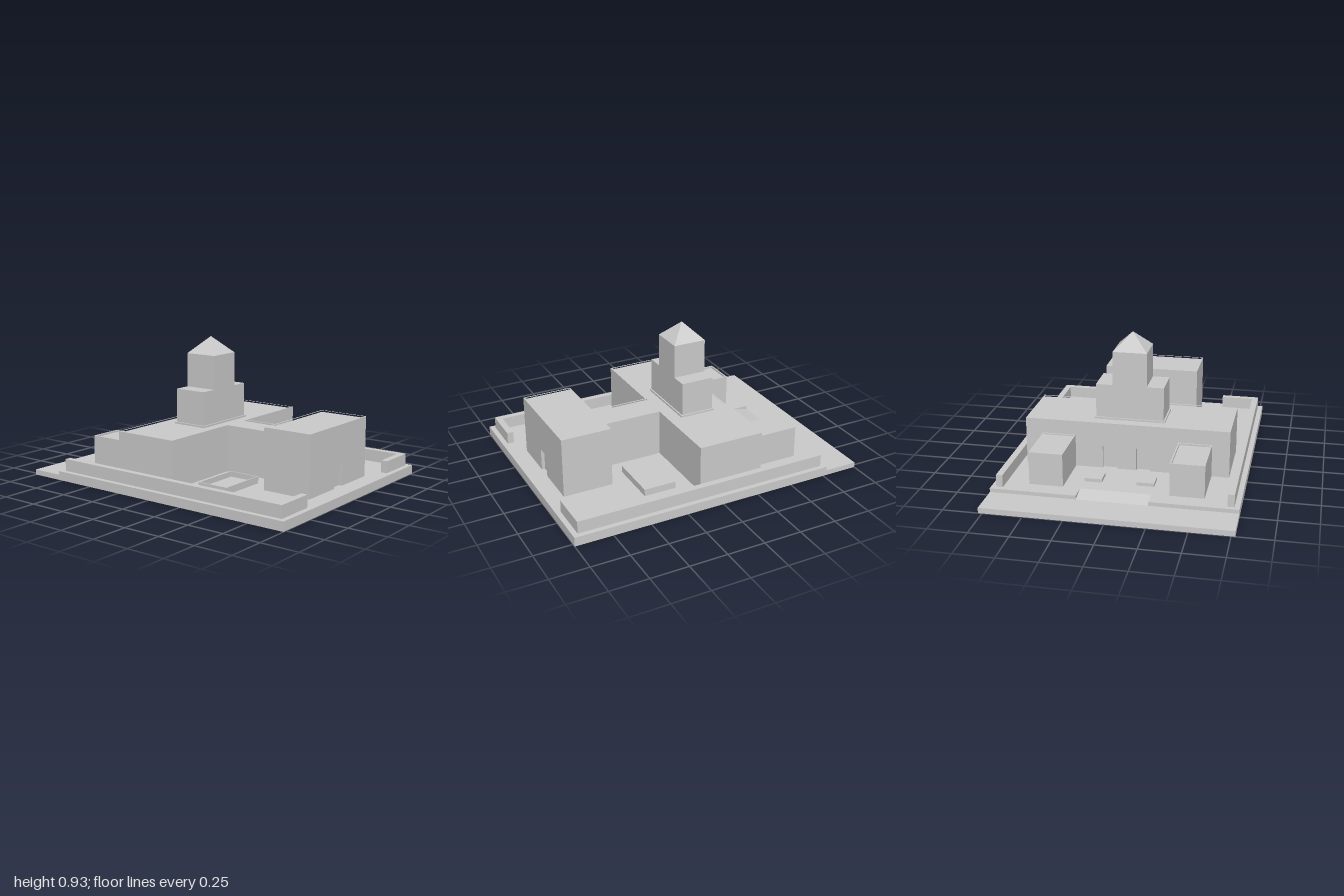
import * as THREE from 'three';

const material = new THREE.MeshStandardMaterial({ color: 0xcccccc, flatShading: true });

// Plan outlines are lists of [x, z] corners.
const rect = (x0, x1, z0, z1) => [[x0, z0], [x1, z0], [x1, z1], [x0, z1]];
const toVectors = (plan) => plan.map(([x, z]) => new THREE.Vector2(x, -z));

export function createModel() {
  const model = new THREE.Group();

  const add = (name, geometry, parent = model) => {
    const mesh = new THREE.Mesh(geometry, material);
    mesh.name = name;
    parent.add(mesh);
    return mesh;
  };

  // Upright prism over a plan, with optional openings.
  const prism = (name, plan, y0, y1, parent = model, holes = []) => {
    const shape = new THREE.Shape(toVectors(plan));
    for (const hole of holes) shape.holes.push(new THREE.Path(toVectors(hole)));
    const geometry = new THREE.ExtrudeGeometry(shape, { depth: y1 - y0, bevelEnabled: false });
    geometry.rotateX(-Math.PI / 2).translate(0, y0, 0);
    return add(name, geometry, parent);
  };

  const group = (name) => {
    const g = new THREE.Group();
    g.name = name;
    model.add(g);
    return g;
  };

  const GROUND = 0.06, DOOR_TOP = 0.21, RIM = 0.01, RECESS = 0.022;
  const ROOF_DROP = 0.012;

  // Ground slab, terrace with a notch at the back, and the ramp filling it
  prism('groundSlab', rect(-0.775, 0.775, -1, 1), 0, 0.035);
  prism('terrace', [
    [-0.775, -0.775], [-0.225, -0.775], [-0.225, -0.67], [0.225, -0.67],
    [0.225, -0.775], [0.775, -0.775], [0.775, 1], [-0.775, 1],
  ], 0.035, GROUND);
  const wedge = new THREE.Shape([
    new THREE.Vector2(0.775, 0.035), new THREE.Vector2(0.67, 0.035), new THREE.Vector2(0.67, GROUND),
  ]);
  const ramp = new THREE.ExtrudeGeometry(wedge, { depth: 0.45, bevelEnabled: false });
  add('entryRamp', ramp.translate(0, 0, -0.225).rotateY(Math.PI / 2));

  // Front hall with a recessed doorway
  const hall = group('frontHall');
  const hallPlan = rect(-0.33, 0.33, 0.555, 0.885);
  prism('hallLowerWalls', [
    [-0.33, 0.555], [0.33, 0.555], [0.33, 0.885], [0.047, 0.885], [0.047, 0.885 - RECESS],
    [-0.047, 0.885 - RECESS], [-0.047, 0.885], [-0.33, 0.885],
  ], GROUND, DOOR_TOP, hall);
  prism('hallUpperWalls', hallPlan, DOOR_TOP, 0.455 - ROOF_DROP, hall);
  prism('hallParapet', hallPlan, 0.455 - ROOF_DROP, 0.455, hall,
    [rect(-0.33 + RIM, 0.33 - RIM, 0.555 + RIM, 0.885 - RIM)]);

  // T-shaped main block: cross wing plus the link to the front hall
  const main = group('mainBlock');
  const teePlan = (d) => [
    [-0.665 + d, -0.333 + d], [0.665 - d, -0.333 + d], [0.665 - d, 0.108 - d], [0.108 - d, 0.108 - d],
    [0.108 - d, 0.555 - d], [-0.108 + d, 0.555 - d], [-0.108 + d, 0.108 - d], [-0.665 + d, 0.108 - d],
  ];
  // Two recessed doorways in the back wall
  const doorNotches = [-0.11, 0.11].flatMap((x) => [
    [x - 0.046, -0.333], [x - 0.046, -0.333 + RECESS], [x + 0.046, -0.333 + RECESS], [x + 0.046, -0.333],
  ]);
  const tee = teePlan(0);
  prism('mainLowerWalls', [tee[0], ...doorNotches, ...tee.slice(1)], GROUND, DOOR_TOP, main);
  prism('mainUpperWalls', tee, DOOR_TOP, 0.37 - ROOF_DROP, main);
  prism('mainParapet', tee, 0.37 - ROOF_DROP, 0.37, main, [teePlan(RIM)]);

  // Stepped tower with a pyramid roof
  const tower = group('tower');
  prism('towerCurb', rect(-0.232, 0.232, -0.232, 0.01), 0.37 - ROOF_DROP, 0.37, tower);
  prism('towerBase', rect(-0.222, 0.222, -0.222, 0), 0.37, 0.592, tower);
  prism('towerShaft', rect(-0.111, 0.111, -0.222, 0), 0.592, 0.815, tower);
  const roof = new THREE.ConeGeometry(0.111 * Math.SQRT2, 0.111, 4).rotateY(Math.PI / 4);
  add('towerRoof', roof, tower).position.set(0, 0.815 + 0.0555, -0.111);

  // Paired parts on the left (+x) and right (-x)
  for (const [side, s] of [['left', 1], ['right', -1]]) {
    const mirror = (plan) => plan.map(([x, z]) => [s * x, z]);

    // Back annex with a parapet roof
    const annexPlan = mirror(rect(0.335, 0.552, -0.665, -0.333));
    prism(side + 'AnnexWalls', annexPlan, GROUND, 0.275 - ROOF_DROP);
    prism(side + 'AnnexParapet', annexPlan, 0.275 - ROOF_DROP, 0.275, model,
      [mirror(rect(0.335 + RIM, 0.552 - RIM, -0.665 + RIM, -0.333 - RIM))]);

    // Courtyard basin, open at the top
    const basinPlan = mirror(rect(0.222, 0.552, 0.222, 0.437));
    prism(side + 'BasinFloor', basinPlan, GROUND, 0.07);
    prism(side + 'BasinRim', basinPlan, 0.07, 0.105, model,
      [mirror(rect(0.229, 0.545, 0.229, 0.43))]);

    // Low block in the back yard
    prism(side + 'YardBlock', mirror(rect(0.111, 0.222, -0.56, -0.45)), GROUND, 0.082);

    // L-shaped perimeter wall
    prism(side + 'PerimeterWall', mirror([
      [0.7, -0.745], [0.742, -0.745], [0.742, 0.966], [0.48, 0.966], [0.48, 0.923], [0.7, 0.923],
    ]), GROUND, 0.14);
  }

  return model;
}
